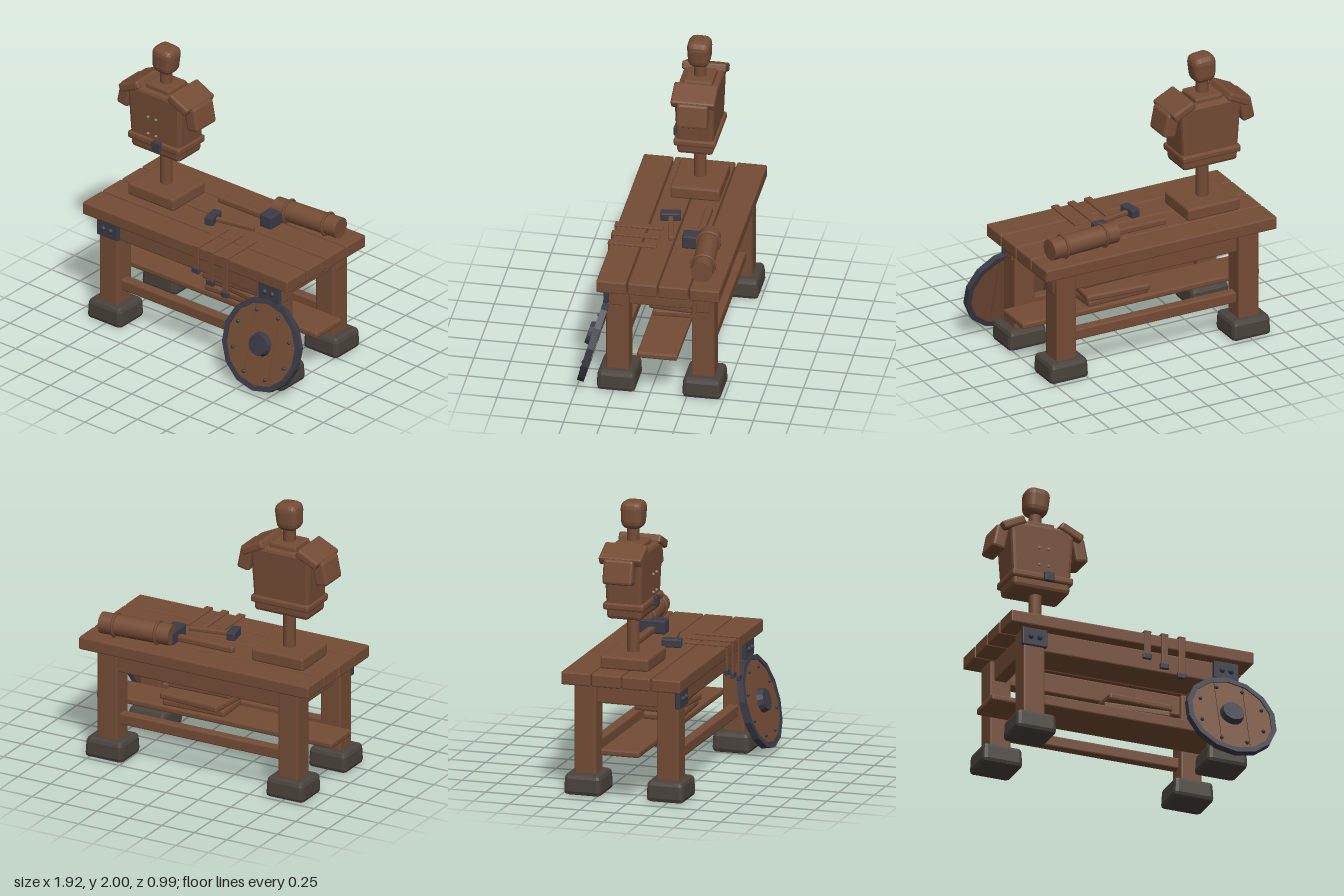
import * as THREE from 'three';
import { RoundedBoxGeometry } from 'three/addons/geometries/RoundedBoxGeometry.js';

export function createModel() {
  const model = new THREE.Group();
  model.name = 'workbench';
  const mat = (name, color) => {
    const m = new THREE.MeshStandardMaterial({ color });
    m.name = name;
    return m;
  };
  const wood = mat('wood', 0x744c35);
  const steel = mat('dark steel', 0x3b3b47);
  const stone = mat('stone', 0x49423c);
  const brass = mat('dull brass', 0x8a8468);

  const flat = (g) => {
    const f = g.index ? g.toNonIndexed() : g;
    f.computeVertexNormals();
    return f;
  };
  const add = (name, geo, material, x = 0, y = 0, z = 0, parent = model) => {
    const m = new THREE.Mesh(geo, material);
    m.name = name;
    m.position.set(x, y, z);
    parent.add(m);
    return m;
  };
  // Bevelled block given by its limits on each axis
  const block = (name, material, x0, x1, y0, y1, z0, z1, bevel = 0.01, parent = model) =>
    add(name, flat(new RoundedBoxGeometry(x1 - x0, y1 - y0, z1 - z0, 1, bevel)), material,
      (x0 + x1) / 2, (y0 + y1) / 2, (z0 + z1) / 2, parent);
  // Scale a geometry across x and z by its height from bottom to top
  const taper = (geo, h, low, high) => {
    const p = geo.attributes.position;
    for (let i = 0; i < p.count; i++) {
      const s = THREE.MathUtils.lerp(low, high, p.getY(i) / h + 0.5);
      p.setX(i, p.getX(i) * s);
      p.setZ(i, p.getZ(i) * s);
    }
    return flat(geo);
  };

  // Table top planks
  [[-0.485, -0.28], [-0.27, -0.066], [-0.056, 0.143], [0.154, 0.357]].forEach(([a, b]) =>
    block('topPlank', wood, -0.945, 0.822, 0.776, 0.866, a, b, 0.01));

  // Legs and stone feet
  for (const x of [-0.758, 0.635]) {
    for (const z of [0.232, -0.352]) {
      block('leg', wood, x - 0.077, x + 0.077, 0.12, 0.776, z - 0.078, z + 0.078, 0.012);
      add('foot', taper(new RoundedBoxGeometry(0.295, 0.145, 0.268, 1, 0.03), 0.145, 1, 0.95),
        stone, x, 0.0725, z);
    }
    block('endApron', wood, x - 0.045, x + 0.045, 0.63, 0.776, -0.28, 0.16);
    // Corner plate with two bolts
    block('cornerPlate', steel, x - 0.09, x + 0.09, 0.643, 0.77, 0.29, 0.325, 0.006);
    for (const dx of [-0.032, 0.032])
      add('plateBolt', new THREE.SphereGeometry(0.02, 8, 6), steel, x + dx, 0.706, 0.325);
  }

  // Long rails and low shelf
  for (const z of [0.232, -0.352]) {
    block('longApron', wood, -0.72, 0.72, 0.63, 0.776, z - 0.048, z + 0.048);
    block('stretcher', wood, -0.72, 0.6, 0.245, 0.325, z - 0.035, z + 0.035);
  }
  block('shelf', wood, -0.967, 0.846, 0.313, 0.358, -0.2, 0.075, 0.012);

  // Loose boards on the shelf
  [[0.11, 0.36, -0.06, 0.26, 0.04], [0.11, 0.41, -0.08, 0.3, -0.09], [0.11, 0.462, -0.01, 0.2, 0.05]]
    .forEach(([x, y, z, d, turn]) => {
      const b = block('looseBoard', wood, x - 0.235, x + 0.235, y, y + 0.05, z - d / 2, z + d / 2, 0.014);
      b.rotation.set(0, turn, turn * 0.15);
    });

  // Training dummy
  const dummy = new THREE.Group();
  dummy.name = 'dummy';
  dummy.position.set(-0.583, 0, -0.094);
  model.add(dummy);
  block('dummyBase', wood, -0.198, 0.198, 0.862, 0.953, -0.17, 0.17, 0.014, dummy);
  add('post', new THREE.CylinderGeometry(0.043, 0.043, 0.32, 12), wood, 0, 1.09, 0, dummy);
  add('torso', taper(new RoundedBoxGeometry(0.45, 0.475, 0.27, 1, 0.025), 0.475, 0.91, 1.03),
    wood, 0, 1.453, 0, dummy);
  block('belt', wood, -0.222, 0.222, 1.28, 1.332, -0.144, 0.144, 0.014, dummy);
  block('buckle', steel, 0.005, 0.074, 1.272, 1.34, 0.135, 0.168, 0.006, dummy);
  block('collar', wood, -0.103, 0.103, 1.675, 1.725, -0.1, 0.1, 0.014, dummy);
  add('neck', new THREE.CylinderGeometry(0.043, 0.043, 0.16, 12), wood, 0, 1.78, 0, dummy);
  const head = add('head', taper(new RoundedBoxGeometry(0.178, 0.196, 0.166, 2, 0.055), 0.196, 0.88, 1.0),
    wood, 0.002, 1.902, 0.003, dummy);
  head.rotation.z = -0.06;
  for (const s of [-1, 1]) {
    const pad = block('shoulderPad', wood, -0.088, 0.088, -0.03, 0.03, -0.15, 0.15, 0.014, dummy);
    pad.position.set(s * 0.21, 1.672, 0);
    pad.rotation.z = -s * 0.45;
    const arm = block('armStub', wood, -0.047, 0.047, -0.085, 0.085, -0.106, 0.106, 0.018, dummy);
    arm.position.set(s * 0.288, 1.568, -0.002);
    arm.rotation.z = s * 0.2;
    for (const y of [1.38, 1.505])
      add('button', new THREE.SphereGeometry(0.011, 8, 6), brass, s * 0.034, y, 0.154, dummy);
  }

  // Leaning round shield
  const shield = new THREE.Group();
  shield.name = 'shield';
  shield.position.set(0.638, 0.34, 0.392);
  shield.rotation.x = -0.28;
  model.add(shield);
  const ring = (r) => {
    const s = new THREE.Shape();
    for (let i = 0; i < 14; i++) {
      const a = (i / 14) * Math.PI * 2 + Math.PI / 2;
      s[i ? 'lineTo' : 'moveTo'](Math.cos(a) * r, Math.sin(a) * r);
    }
    s.closePath();
    return s;
  };
  const rimShape = ring(0.325);
  rimShape.holes.push(ring(0.288));
  add('shieldRim', new THREE.ExtrudeGeometry(rimShape, { depth: 0.045, bevelEnabled: false }),
    steel, 0, 0, -0.022, shield);
  // Three boards cut from the disc, with narrow seams
  const R = 0.295;
  for (const [a, b] of [[-R, -0.101], [-0.097, 0.105], [0.109, R]]) {
    const s = new THREE.Shape();
    const pts = [];
    for (let i = 0; i <= 10; i++) {
      const x = a + ((b - a) * i) / 10;
      pts.push(new THREE.Vector2(x, Math.sqrt(Math.max(0, R * R - x * x))));
    }
    s.setFromPoints([...pts, ...pts.slice().reverse().map((p) => new THREE.Vector2(p.x, -p.y))]);
    add('shieldBoard', new THREE.ExtrudeGeometry(s, { depth: 0.03, bevelEnabled: false }),
      wood, 0, 0, -0.015, shield);
  }
  const boss = add('shieldBoss', flat(new THREE.CylinderGeometry(0.075, 0.086, 0.045, 14)), steel, 0, 0.005, 0.035, shield);
  boss.rotation.x = Math.PI / 2;
  for (let i = 0; i < 8; i++) {
    const a = 0.36 + (i * Math.PI) / 4;
    add('shieldRivet', new THREE.SphereGeometry(0.014, 8, 6), steel,
      Math.cos(a) * 0.24, Math.sin(a) * 0.24, 0.018, shield);
  }

  // Bound roll lying at the back of the top
  const roll = new THREE.Group();
  roll.name = 'roll';
  roll.position.set(0.46, 0.943, -0.325);
  roll.rotation.y = 0.075;
  model.add(roll);
  add('rollBody', new THREE.CylinderGeometry(0.074, 0.074, 0.52, 16), wood, 0, 0, 0, roll).rotation.z = Math.PI / 2;
  for (const x of [-0.16, 0.155])
    add('rollBand', new THREE.TorusGeometry(0.078, 0.01, 6, 20), wood, x, 0, 0, roll).rotation.y = Math.PI / 2;

  // Large mallet
  block('malletHandle', wood, -0.23, 0.2, 0.872, 0.92, -0.248, -0.2, 0.012);
  block('malletHead', steel, 0.19, 0.29, 0.868, 0.965, -0.312, -0.128, 0.012);

  // Small hammer
  const hammer = new THREE.Group();
  hammer.name = 'hammer';
  hammer.position.set(-0.092, 0.898, 0.016);
  hammer.rotation.y = 0.19;
  model.add(hammer);
  block('hammerHead', steel, -0.032, 0.032, -0.03, 0.03, -0.068, 0.068, 0.008, hammer);
  block('hammerHandle', wood, 0.02, 0.315, -0.02, 0.012, -0.017, 0.017, 0.008, hammer);

  // Straps draped over the front edge, with metal tips
  [[0.043, 0.69], [0.168, 0.638], [0.293, 0.59]].forEach(([x, y]) => {
    block('strapTop', wood, x - 0.026, x + 0.026, 0.864, 0.879, 0.04, 0.372, 0.004);
    block('strapDrop', wood, x - 0.024, x + 0.024, y, 0.876, 0.357, 0.371, 0.004);
    block('strapTip', steel, x - 0.034, x + 0.03, y - 0.02, y + 0.02, 0.352, 0.376, 0.006);
  });

  return model;
}
